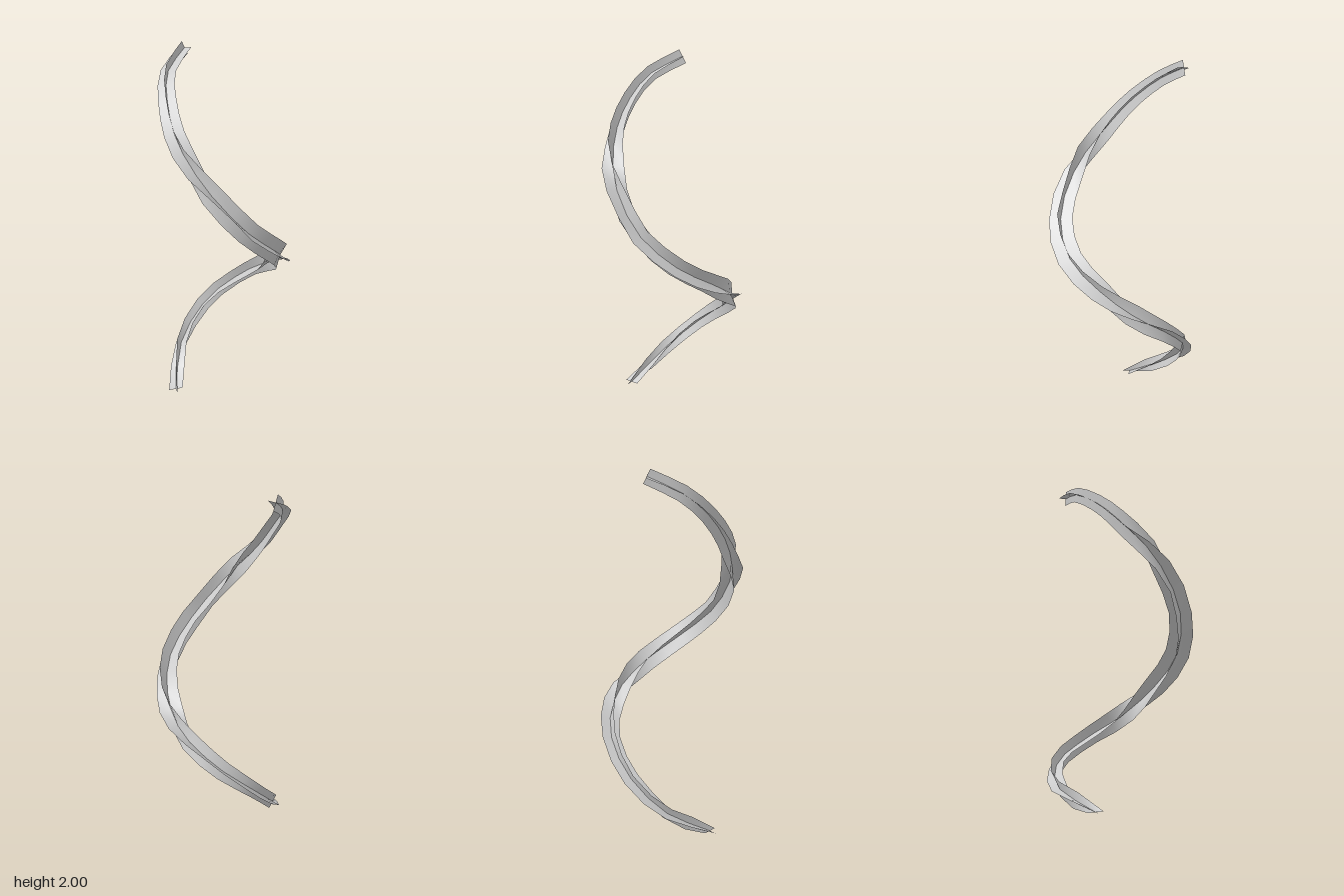
import * as THREE from 'three';

const SEGMENTS = 26;

// Centre line of the slightly leaning spiral, from the foot to the top
const path = new THREE.CatmullRomCurve3([
  [-0.29, 0, -0.145], [-0.08, 0.175, -0.325], [0.133, 0.375, -0.328], [0.288, 0.56, -0.178],
  [0.313, 0.71, 0.025], [0.22, 0.84, 0.19], [0.038, 0.985, 0.314], [-0.162, 1.16, 0.304],
  [-0.303, 1.39, 0.163], [-0.327, 1.59, -0.02], [-0.279, 1.74, -0.146],
  [-0.175, 1.87, -0.27], [0, 1.96, -0.337],
].map((p) => new THREE.Vector3(...p)));

// Outward lean of the cross-section along the path, in degrees (height, lean)
const leans = [[0, 0], [0.27, 28], [0.62, -22], [0.87, 30], [1.08, 14], [1.3, -15], [1.57, 28], [1.96, 0]];

function leanAt(y) {
  let i = 0;
  while (i < leans.length - 2 && y > leans[i + 1][0]) i++;
  const [y0, a0] = leans[i];
  const [y1, a1] = leans[i + 1];
  const t = THREE.MathUtils.smoothstep(y, y0, y1);
  return THREE.MathUtils.degToRad(a0 + (a1 - a0) * t);
}

// One cross-section frame: centre, the two arm directions and the arm length
function sectionAt(i) {
  const t = i / SEGMENTS;
  const centre = path.getPoint(t);
  const tangent = i === 0 ? new THREE.Vector3(0, 1, 0) : path.getTangent(t);
  const out = new THREE.Vector3(centre.x, 0, centre.z);
  out.addScaledVector(tangent, -out.dot(tangent)).normalize();
  const up = new THREE.Vector3().crossVectors(tangent, out);
  const a = leanAt(centre.y);
  return {
    centre,
    half: 0.041 + 0.027 * Math.sin(Math.PI * t) ** 2,
    across: out.clone().multiplyScalar(Math.cos(a)).addScaledVector(up, -Math.sin(a)),
    upright: up.clone().multiplyScalar(Math.cos(a)).addScaledVector(out, Math.sin(a)),
  };
}

// A thin ribbon swept along the path in one arm direction
function ribbon(name, arm, sections, material) {
  const positions = [];
  const index = [];
  sections.forEach((s, i) => {
    for (const side of [-1, 0, 1]) {
      const p = s.centre.clone().addScaledVector(s[arm], side * s.half);
      positions.push(p.x, Math.max(p.y, 0), p.z);
    }
    if (i === 0) return;
    for (let k = 0; k < 2; k++) {
      const b = i * 3 + k;
      const a = b - 3;
      index.push(a, a + 1, b + 1, a, b + 1, b);
    }
  });
  const geometry = new THREE.BufferGeometry();
  geometry.setAttribute('position', new THREE.Float32BufferAttribute(positions, 3));
  geometry.setIndex(index);
  geometry.computeVertexNormals();
  const mesh = new THREE.Mesh(geometry, material);
  mesh.name = name;
  return mesh;
}

export function createModel() {
  const group = new THREE.Group();
  group.name = 'spiralStrand';
  const material = new THREE.MeshStandardMaterial({ color: 0xcccccc, side: THREE.DoubleSide });
  const sections = Array.from({ length: SEGMENTS + 1 }, (_, i) => sectionAt(i));

  // Two crossed ribbons give the plus-shaped section
  group.add(ribbon('flatRibbon', 'across', sections, material));
  group.add(ribbon('uprightRibbon', 'upright', sections, material));
  return group;
}
